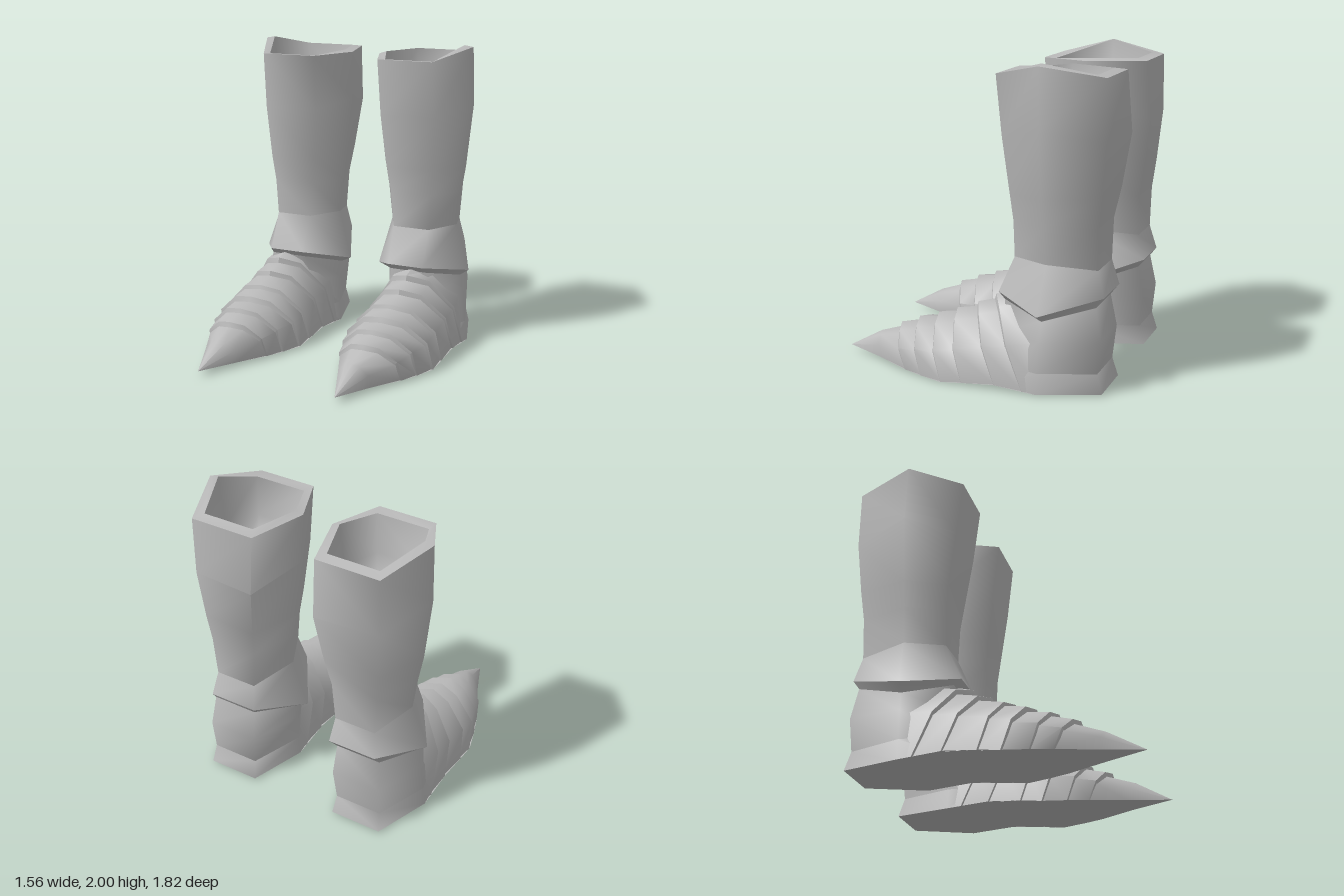
import * as THREE from 'three';
import { toCreasedNormals } from 'three/addons/utils/BufferGeometryUtils.js';

// Sole outline rows: z, inner x, outer x, y
const SOLE = [
  [-0.875, 0.30, 0.64, 0.02], [-0.5, 0.185, 0.77, 0.01], [-0.22, 0.188, 0.775, 0.035],
  [0, 0.178, 0.782, 0.018], [0.13, 0.178, 0.782, 0.005], [0.28, 0.22, 0.74, 0.01],
  [0.41, 0.265, 0.695, 0.015], [0.65, 0.37, 0.58, 0.028], [0.91, 0.477, 0.477, 0.04],
];

// Sole row interpolated at any z
function soleAt(z) {
  let i = 0;
  while (i < SOLE.length - 2 && z > SOLE[i + 1][0]) i++;
  const a = SOLE[i], b = SOLE[i + 1];
  const t = THREE.MathUtils.clamp((z - a[0]) / (b[0] - a[0]), 0, 1);
  return a.map((v, k) => v + (b[k] - v) * t);
}

// Surface through equal-sized rings of [x, y, z]; side -1 mirrors it
function loft(rings, closed, side, crease) {
  const n = rings[0].length, pos = [], index = [];
  rings.forEach(r => r.forEach(p => pos.push(p[0] * side, p[1], p[2])));
  for (let i = 0; i < rings.length - 1; i++) {
    for (let j = 0; j < (closed ? n : n - 1); j++) {
      const a = i * n + j, b = i * n + (j + 1) % n, c = a + n, d = b + n;
      if (side > 0) index.push(a, c, b, b, c, d);
      else index.push(a, b, c, b, d, c);
    }
  }
  const g = new THREE.BufferGeometry();
  g.setAttribute('position', new THREE.Float32BufferAttribute(pos, 3));
  g.setIndex(index);
  return toCreasedNormals(g, crease);
}

// Six-sided ring: widths at middle, front and back; z and y of its corners
function hex([xi, xo], [fi, fo], [bi, bo], [zf, zm, zb, zbOut = zb], [yf, yi, yo, yb]) {
  return [[xi, yi, zm], [fi, yf, zf], [fo, yf, zf], [xo, yo, zm], [bo, yb, zbOut], [bi, yb, zb]];
}

// Arch across the foot, its sides swept back by lean
const ARCH = [[-1, 0, 1], [-0.93, 0.55, 0.6], [-0.45, 0.92, 0.25], [0, 1, 0],
  [0.45, 0.92, 0.25], [0.93, 0.55, 0.6], [1, 0, 1]];
function arch(z, h, lean, scale = 1) {
  const [, xi, xo, base] = soleAt(z - lean);
  const c = (xi + xo) / 2, w = (xo - xi) / 2 * scale;
  return ARCH.map(([u, f, g]) => [c + u * w, base + (h - base) * f, z - lean * g]);
}

function createBoot(side, metal) {
  const boot = new THREE.Group();
  const add = (name, rings, closed = true, crease = 1.4) => {
    const m = new THREE.Mesh(loft(rings, closed, side, crease), metal);
    m.name = name;
    boot.add(m);
  };

  // Shaft
  const rimOuter = hex([0.10, 0.765], [0.232, 0.61], [0.21, 0.63], [-0.18, -0.5, -0.87], [1.915, 1.92, 1.99, 1.925]);
  const rimInner = hex([0.15, 0.705], [0.255, 0.60], [0.25, 0.59], [-0.25, -0.5, -0.80], [1.91, 1.935, 2.0, 1.935]);
  const ankleTop = hex([0.20, 0.67], [0.315, 0.565], [0.30, 0.575], [-0.285, -0.52, -0.82], [0.8, 0.8, 0.8, 0.77]);
  add('shaft', [
    rimOuter,
    hex([0.105, 0.775], [0.24, 0.615], [0.215, 0.63], [-0.22, -0.51, -0.905, -0.875], [1.55, 1.6, 1.62, 1.55]),
    hex([0.147, 0.73], [0.27, 0.60], [0.255, 0.61], [-0.265, -0.51, -0.86, -0.845], [1.2, 1.2, 1.2, 1.22]),
    hex([0.175, 0.70], [0.295, 0.58], [0.28, 0.595], [-0.282, -0.515, -0.822], [1.03, 1.03, 1.03, 1.03]),
    ankleTop,
  ]);
  add('shaftRim', [rimInner, rimOuter]);

  // Hollow inside the shaft
  const sink = (k, y) => rimInner.map(p => [0.425 + (p[0] - 0.425) * k, y, -0.52 + (p[2] + 0.52) * k]);
  add('shaftLining', [sink(0.001, 1.42), sink(0.6, 1.48), sink(0.88, 1.66), rimInner], true, 3.1);

  // Flared ankle collar
  const collarEdge = hex([0.11, 0.77], [0.32, 0.567], [0.28, 0.6], [-0.18, -0.5, -0.865], [0.565, 0.475, 0.5, 0.61]);
  const collarUnder = hex([0.185, 0.705], [0.325, 0.575], [0.31, 0.61], [-0.225, -0.51, -0.82], [0.525, 0.44, 0.455, 0.55]);
  add('ankleCollar', [ankleTop, collarEdge]);
  add('collarUnderside', [collarEdge, collarUnder]);

  // Heel and its flared base
  const heelLine = hex([0.195, 0.755], [0.24, 0.71], [0.315, 0.625], [-0.27, -0.5, -0.84], [0.15, 0.14, 0.14, 0.14]);
  add('heel', [
    collarUnder,
    hex([0.19, 0.735], [0.29, 0.65], [0.3, 0.63], [-0.26, -0.5, -0.86], [0.35, 0.33, 0.33, 0.35]),
    heelLine,
  ]);
  add('heelBase', [heelLine,
    hex([0.185, 0.77], [0.21, 0.75], [0.30, 0.64], [-0.24, -0.5, -0.875], [0.035, 0.01, 0.01, 0.02])]);

  // Overlapping foot plates: front z, front height, rear height, side sweep
  const plates = [
    [0.53, 0.25, 0.278, 0.12], [0.40, 0.305, 0.315, 0.12], [0.265, 0.35, 0.37, 0.14],
    [0.135, 0.395, 0.425, 0.15], [-0.01, 0.455, 0.488, 0.22], [-0.13, 0.52, 0.56, 0.28],
  ];
  plates.forEach(([z, h, rearH, lean], i) => {
    const next = plates[i + 1] || [-0.28, 0, 0, 0.28];
    add('footPlate' + (i + 1), [
      arch(next[0], rearH, next[3], 0.965),
      arch(z, h, lean),
      arch(z + 0.012, h - 0.04, lean, 0.94),
    ], false, 0.8);
  });

  // Pointed toe
  add('toe', [
    arch(0.525, 0.222, 0.125, 0.97),
    arch(0.68, 0.17, 0.04),
    ARCH.map(() => [0.477, 0.04, 0.91]),
  ], false, 0.8);

  // Sole
  add('sole', SOLE.map(([z, xi, xo, y]) => [[xi, y, z], [xo, y, z]]), false, 0.5);
  return boot;
}

export function createModel() {
  const metal = new THREE.MeshStandardMaterial({ color: 0xbababa, side: THREE.DoubleSide });
  metal.name = 'grey metal';
  const model = new THREE.Group();
  for (const [side, name] of [[1, 'leftBoot'], [-1, 'rightBoot']]) {
    const boot = createBoot(side, metal);
    boot.name = name;
    model.add(boot);
  }
  return model;
}
